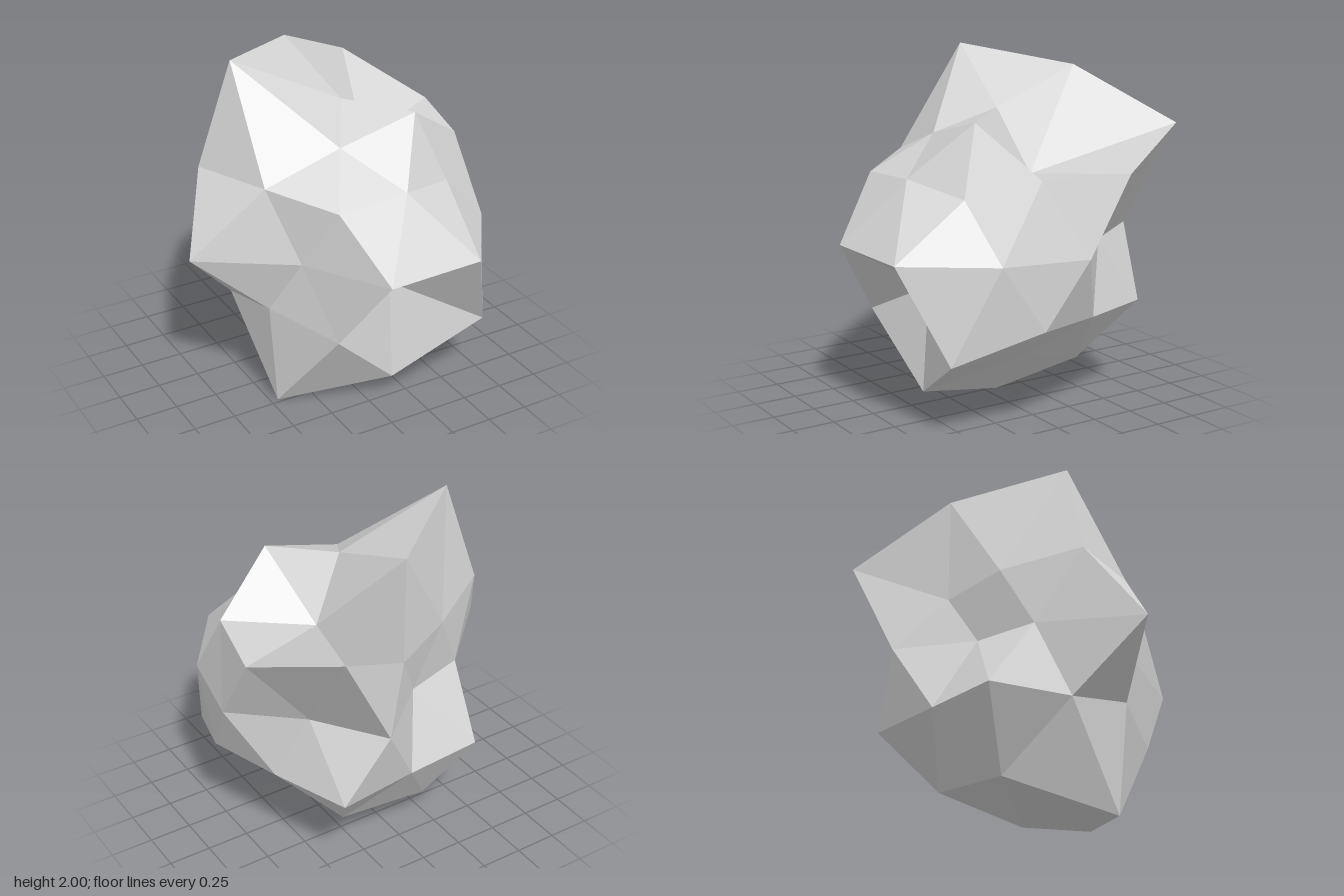
import * as THREE from 'three';

export function createModel() {
  const stone = new THREE.MeshStandardMaterial({ color: 0xd6d6d6 });
  stone.name = 'pale stone grey';

  // The rock is a once-divided icosahedron whose points are pushed in and out from its centre.
  const centre = new THREE.Vector3(0.1, 0.98, -0.015);
  const start = 48.7; // compass angle of the first point, in degrees
  const main = 26.565, mid = 31.717, cap = 58.283; // latitudes of the rings

  const point = (lat, turn, radius) => {
    const la = THREE.MathUtils.degToRad(lat);
    const az = THREE.MathUtils.degToRad(start + turn);
    return new THREE.Vector3(Math.cos(la) * Math.cos(az), Math.sin(la), Math.cos(la) * Math.sin(az))
      .multiplyScalar(radius).add(centre);
  };
  const ring = (radii, offset, lat) =>
    radii.map((r, i) => point(lat(i), offset + i * 360 / radii.length, r));

  // Rings from top to bottom
  const top = point(90, 0, 0.72);
  const a = ring([0.82, 0.68, 1.2, 1.083, 0.43], 0, () => cap);
  const b = ring([0.7, 0.73, 0.8, 0.803, 0.925, 0.696, 0.632, 1.195, 0.967, 0.813], 0, i => (i % 2 ? mid : main));
  const c = ring([0.96, 0.923, 0.66, 1.014, 0.663, 0.495, 0.8, 0.594, 0.81, 0.82], 18, () => 0);
  const d = ring([1.03, 0.537, 0.847, 0.745, 0.785, 0.907, 0.77, 0.919, 0.76, 0.85], 0, i => (i % 2 ? -main : -mid));
  const e = ring([1.0, 1.152, 0.97, 0.89, 0.735], 36, () => -cap);
  const bottom = point(-90, 0, 0.943);

  const corners = [];
  const face = (...p) => corners.push(...p);

  // Crown and base
  for (let k = 0; k < 5; k++) {
    const n = (k + 1) % 5, j = 2 * k, j1 = j + 1, j2 = (j + 2) % 10;
    face(top, a[n], a[k]);
    face(a[k], b[j1], b[j]);
    face(a[k], a[n], b[j1]);
    face(a[n], b[j2], b[j1]);
    face(d[j], d[j1], e[k]);
    face(d[j1], d[j2], e[k]);
    face(d[j2], e[n], e[k]);
    face(e[k], e[n], bottom);
  }
  // Waist
  for (let j = 0; j < 10; j++) {
    const n = (j + 1) % 10;
    face(b[j], b[n], c[j]);
    face(b[n], c[n], c[j]);
    face(c[j], d[n], d[j]);
    face(c[j], c[n], d[n]);
  }

  // Unshared corners give each facet its own flat normal
  const geometry = new THREE.BufferGeometry().setFromPoints(corners);
  geometry.computeVertexNormals();

  const rock = new THREE.Mesh(geometry, stone);
  rock.name = 'rock';
  const group = new THREE.Group();
  group.name = 'boulder';
  group.add(rock);
  return group;
}
